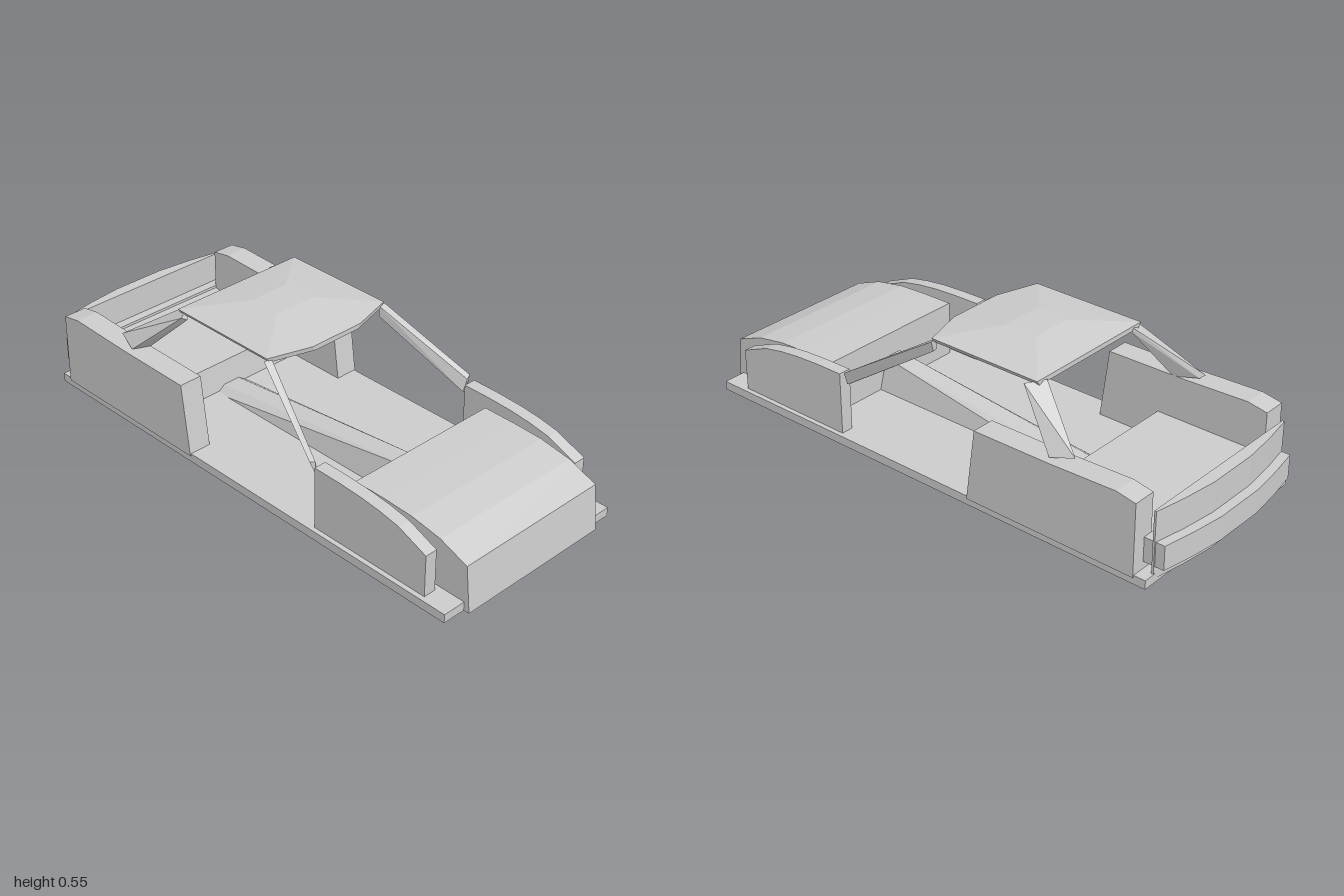
import * as THREE from 'three';
import { ConvexGeometry } from 'three/addons/geometries/ConvexGeometry.js';

const material = new THREE.MeshStandardMaterial({ color: 0xcccccc, flatShading: true });

export function createModel() {
  const model = new THREE.Group();

  const add = (name, geometry) => {
    const mesh = new THREE.Mesh(geometry, material);
    mesh.name = name;
    model.add(mesh);
  };

  // Box between two corners
  const box = (name, [x0, y0, z0], [x1, y1, z1]) =>
    add(name, new THREE.BoxGeometry(x1 - x0, y1 - y0, z1 - z0)
      .translate((x0 + x1) / 2, (y0 + y1) / 2, (z0 + z1) / 2));

  const extrude = (points, depth) => new THREE.ExtrudeGeometry(
    new THREE.Shape(points.map(([a, b]) => new THREE.Vector2(a, b))),
    { depth, bevelEnabled: false });

  // Side profile of [z, y] points, extruded from x0 to x1
  const sideProfile = (name, points, x0, x1) =>
    add(name, extrude(points, x1 - x0).rotateY(-Math.PI / 2).translate(x1, 0, 0));

  // Plan outline of [x, -z] points, extruded from y0 to y1
  const plan = (name, points, y0, y1) =>
    add(name, extrude(points, y1 - y0).rotateX(-Math.PI / 2).translate(0, y0, 0));

  // Convex solid around a few corner points
  const hull = (name, points) =>
    add(name, new ConvexGeometry(points.map((p) => new THREE.Vector3(...p))));

  box('floor', [-0.395, 0.045, -0.93], [0.395, 0.078, 0.978]);

  // Hood block with a rounded nose
  sideProfile('hood', [[0.505, 0.045], [1, 0.045], [0.982, 0.217], [0.87, 0.26],
    [0.75, 0.28], [0.635, 0.285], [0.505, 0.286]], -0.307, 0.307);

  // Tapering centre tunnel
  const tunnel = [];
  for (const [z, y] of [[0.505, 0.197], [-0.45, 0.094]])
    for (const s of [-1, 1]) tunnel.push([s * 0.07, 0.07, z], [s * 0.035, y, z]);
  hull('centreTunnel', tunnel);

  // Low rear deck with a leaning front face
  sideProfile('rearDeck', [[-0.9, 0.07], [-0.44, 0.07], [-0.455, 0.185], [-0.9, 0.185]], -0.31, 0.31);

  // Bowed rear panel and bumper
  plan('rearPanel', [[-0.352, 0.92], [0.352, 0.92], [0.352, 0.928], [0.23, 0.95],
    [0.1, 0.965], [-0.1, 0.965], [-0.23, 0.95], [-0.352, 0.928]], 0.06, 0.307);
  plan('rearBumper', [[-0.348, 0.885], [0.348, 0.885], [0.348, 0.963], [0.23, 0.984],
    [0.1, 1], [-0.1, 1], [-0.23, 0.984], [-0.348, 0.963]], 0.105, 0.195);

  // Roof: bowed front edge, thin rim and a raised crown
  const roof = [];
  for (const s of [-1, 1]) {
    for (const [x, z] of [[0.272, -0.395], [0.272, 0.055], [0.11, 0.103]])
      roof.push([s * x, 0.524, z], [s * (x - 0.012), 0.506, z]);
    roof.push([s * 0.077, 0.552, -0.23], [s * 0.085, 0.552, -0.1]);
  }
  hull('roof', roof);

  // Mirrored parts
  for (const [side, s] of [['left', 1], ['right', -1]]) {
    const span = (a, b) => (s > 0 ? [a, b] : [-b, -a]);
    const mirror = (points) => points.map(([x, y, z]) => [s * x, y, z]);

    const [k0, k1] = span(0.123, 0.329);
    box(side + 'Skid', [k0, 0, -0.225], [k1, 0.046, 0.456]);

    sideProfile(side + 'FrontFender', [[0.39, 0.07], [0.877, 0.07], [0.877, 0.235],
      [0.76, 0.283], [0.68, 0.298], [0.6, 0.307], [0.5, 0.312], [0.39, 0.313]], ...span(0.33, 0.377));

    sideProfile(side + 'RearQuarter', [[-0.885, 0.07], [-0.205, 0.07], [-0.24, 0.342],
      [-0.55, 0.345], [-0.81, 0.354], [-0.885, 0.34]], ...span(0.311, 0.399));

    // Slim blade from the roof to the front fender
    hull(side + 'WindscreenPillar', mirror([
      [0.25, 0.515, 0.055], [0.28, 0.515, 0.05], [0.25, 0.475, 0.055], [0.265, 0.472, 0.055],
      [0.358, 0.318, 0.375], [0.378, 0.325, 0.368], [0.345, 0.27, 0.37], [0.358, 0.272, 0.375]]));

    // Broad twisted pillar from the roof to the rear quarter
    hull(side + 'RearPillar', mirror([
      [0.29, 0.512, -0.355], [0.228, 0.517, -0.4], [0.223, 0.505, -0.392], [0.265, 0.495, -0.355],
      [0.375, 0.348, -0.53], [0.35, 0.366, -0.615], [0.335, 0.355, -0.6], [0.31, 0.342, -0.51]]));
  }

  return model;
}
